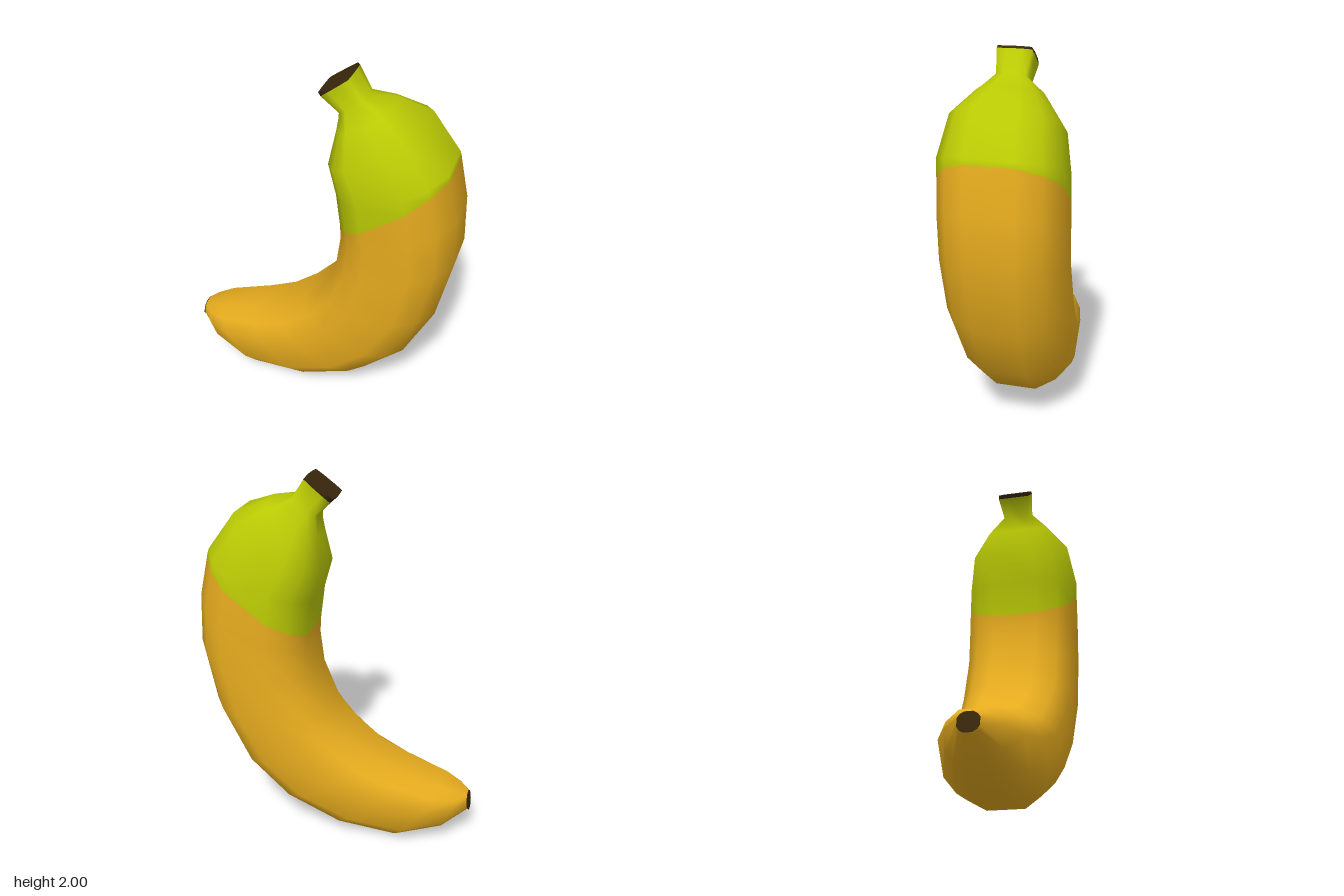
import * as THREE from 'three';

// One cross-section: a square with broad, softened corners.
// Each side turns a quarter of the way round; pairs are [across, depth].
const CORNERS = [];
for (let q = 0; q < 4; q++) {
  for (const [u, w] of [[1, -0.4], [1, 0.4], [0.76, 0.76]]) {
    CORNERS.push([[u, w], [-w, u], [-u, -w], [w, -u]][q]);
  }
}
const SIDES = CORNERS.length;

// Cross-sections from stem to blossom end:
// [inner x, inner y, outer x, outer y, half depth, centre z, squareness]
const RINGS = [
  [0.02, 1.897, 0.163, 2.0, 0.088, 0.02, 1],
  [0.033, 1.88, 0.172, 1.99, 0.091, 0.02, 1],
  [0.115, 1.80, 0.245, 1.885, 0.08, 0.02, 0.7],
  [0.105, 1.70, 0.37, 1.862, 0.165, 0.01, 0],
  [0.08, 1.53, 0.53, 1.80, 0.265, 0.012, 0],
  [0.127, 1.37, 0.675, 1.60, 0.3, 0.01, 0],
  [0.15, 1.18, 0.681, 1.573, 0.302, 0.005, 0],
  [0.152, 1.10, 0.732, 1.345, 0.302, 0, 0],
  [0.13, 0.93, 0.745, 1.08, 0.3, -0.002, 0],
  [0.045, 0.73, 0.675, 0.735, 0.3, -0.005, 0],
  [-0.065, 0.61, 0.52, 0.405, 0.288, -0.01, 0],
  [-0.22, 0.49, 0.30, 0.19, 0.272, -0.012, 0],
  [-0.40, 0.42, 0.0, 0.045, 0.243, -0.012, 0],
  [-0.60, 0.36, -0.33, 0.003, 0.2, -0.011, 0],
  [-0.69, 0.322, -0.60, 0.09, 0.132, -0.01, 0],
  [-0.733, 0.30, -0.742, 0.205, 0.052, -0.01, 0],
  [-0.738, 0.297, -0.75, 0.20, 0.05, -0.01, 0],
];

// Corner points of one ring; squareness sharpens the corners
function ringPoints([ix, iy, ox, oy, depth, cz, square]) {
  return CORNERS.flatMap(([u, w], k) => {
    const sharpen = k % 3 === 2 ? 1 + 0.25 * square : 1;
    const t = (u * sharpen + 1) / 2;
    return [ix + (ox - ix) * t, iy + (oy - iy) * t, cz + depth * w * sharpen];
  });
}

function build(positions, index) {
  const geometry = new THREE.BufferGeometry();
  geometry.setAttribute('position', new THREE.Float32BufferAttribute(positions, 3));
  geometry.setIndex(index);
  geometry.computeVertexNormals();
  return geometry;
}

// Smooth skin; bands lists [first ring, last ring, material index]
function skin(bands) {
  const index = [];
  for (let i = 0; i < RINGS.length - 1; i++) {
    for (let k = 0; k < SIDES; k++) {
      const a = i * SIDES + k;
      const b = i * SIDES + ((k + 1) % SIDES);
      index.push(a, b, a + SIDES, b, b + SIDES, a + SIDES);
    }
  }
  const geometry = build(RINGS.flatMap(ringPoints), index);
  for (const [from, to, material] of bands) {
    geometry.addGroup(from * SIDES * 6, (to - from) * SIDES * 6, material);
  }
  return geometry;
}

// Flat end closing a ring
function cap(ring, atStart) {
  const [ix, iy, ox, oy, , cz] = ring;
  const index = [];
  for (let k = 0; k < SIDES; k++) {
    const n = (k + 1) % SIDES;
    index.push(SIDES, atStart ? n : k, atStart ? k : n);
  }
  return build([...ringPoints(ring), (ix + ox) / 2, (iy + oy) / 2, cz], index);
}

export function createModel() {
  const paint = (name, color) => {
    const material = new THREE.MeshStandardMaterial({ color });
    material.name = name;
    return material;
  };
  const brown = paint('dark brown', 0x3a280c);
  const green = paint('unripe green', 0xbac904);
  const yellow = paint('ripe yellow', 0xe5ab1e);

  const group = new THREE.Group();
  group.name = 'banana';
  const add = (name, geometry, material) => {
    const mesh = new THREE.Mesh(geometry, material);
    mesh.name = name;
    group.add(mesh);
  };

  // Peel: brown rim, green neck, yellow body, brown rim
  const last = RINGS.length - 1;
  add('peel', skin([[0, 1, 0], [1, 6, 1], [6, last - 1, 2], [last - 1, last, 0]]), [brown, green, yellow]);

  // Cut stem and blossom end
  add('stemCut', cap(RINGS[0], true), brown);
  add('blossomEnd', cap(RINGS[last], false), brown);
  return group;
}
